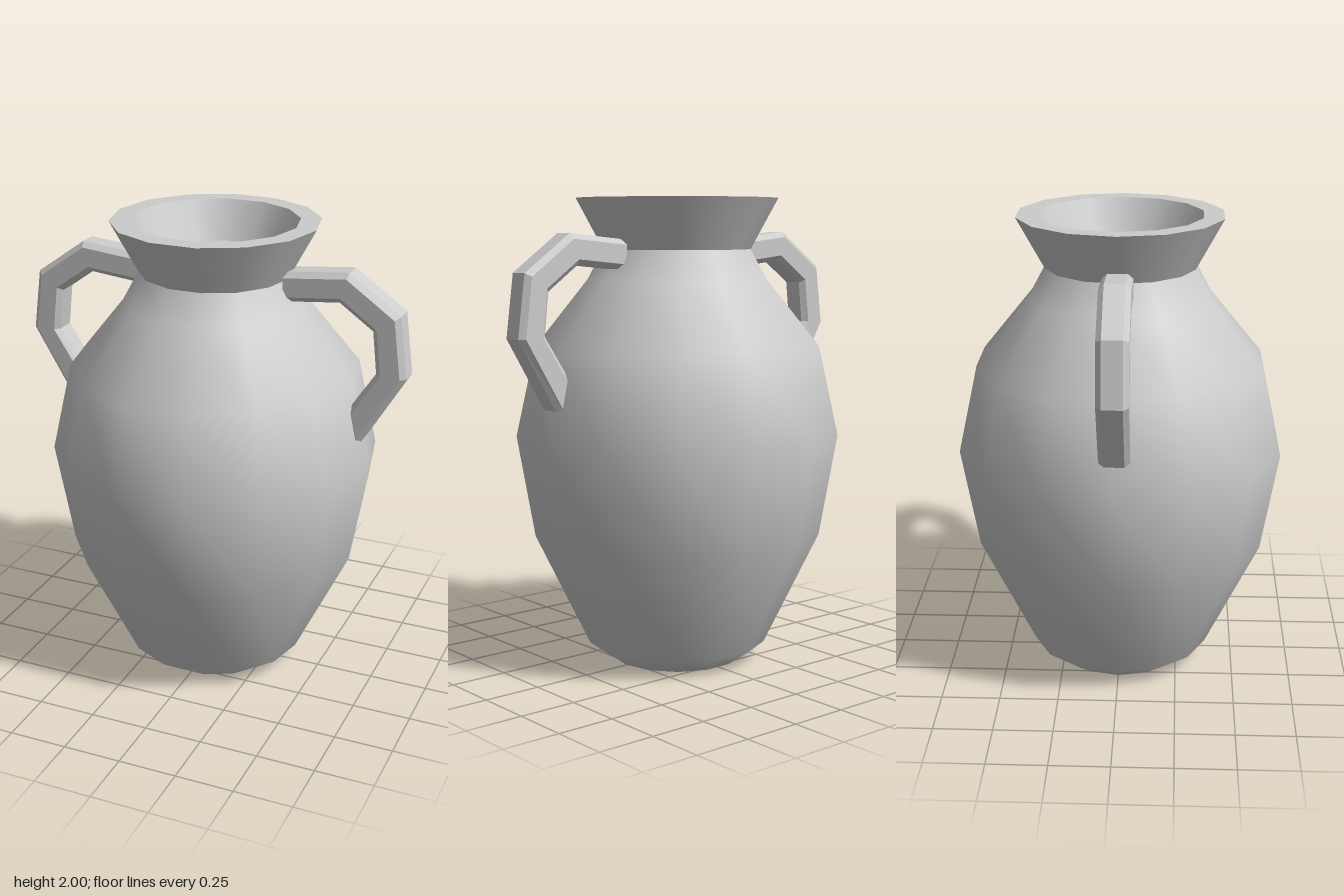
import * as THREE from 'three';

const SIDES = 14;

// Turned surface with a corner on the x axis; profile is [radius, y] pairs
function turned(name, profile, material) {
  const points = profile.map(([r, y]) => new THREE.Vector2(r, y));
  const mesh = new THREE.Mesh(new THREE.LatheGeometry(points, SIDES, Math.PI / 2), material);
  mesh.name = name;
  return mesh;
}

// Chamfered square bar running through stations of [outerX, outerY, innerX, innerY]
function handleGeometry(stations) {
  // Section corners: [share of the way from inner to outer, z]
  const section = [
    [1, -0.041], [1, 0.041], [0.82, 0.063], [0.18, 0.063],
    [0, 0.041], [0, -0.041], [0.18, -0.063], [0.82, -0.063],
  ];
  const n = section.length;
  const rings = stations.map(([ox, oy, ix, iy]) =>
    section.map(([t, z]) => [ix + (ox - ix) * t, iy + (oy - iy) * t, z]));
  const out = [];
  const tri = (a, b, c) => out.push(...a, ...b, ...c);
  for (let j = 0; j < rings.length - 1; j++) {
    for (let i = 0; i < n; i++) {
      const k = (i + 1) % n;
      tri(rings[j][i], rings[j][k], rings[j + 1][i]);
      tri(rings[j][k], rings[j + 1][k], rings[j + 1][i]);
    }
  }
  // End caps
  const first = rings[0], last = rings[rings.length - 1];
  for (let i = 1; i < n - 1; i++) {
    tri(first[0], first[i + 1], first[i]);
    tri(last[0], last[i], last[i + 1]);
  }
  const geometry = new THREE.BufferGeometry();
  geometry.setAttribute('position', new THREE.Float32BufferAttribute(out, 3));
  geometry.computeVertexNormals();
  return geometry;
}

export function createModel() {
  const group = new THREE.Group();
  group.name = 'jar';
  const clay = new THREE.MeshStandardMaterial({ color: 0xcccccc });
  clay.name = 'grey clay';

  // Body and neck, split where the edges are sharp
  group.add(
    turned('base', [[0, 0], [0.283, 0]], clay),
    turned('body', [
      [0.283, 0], [0.39, 0.075], [0.625, 0.565], [0.7, 1],
      [0.615, 1.38], [0.388, 1.66], [0.32, 1.785],
    ], clay),
    turned('neck', [[0.32, 1.785], [0.437, 2]], clay),
    turned('rim', [[0.437, 2], [0.35, 2]], clay),
    turned('neckInside', [[0.35, 2], [0.275, 1.835]], clay),
    turned('insideFloor', [[0.275, 1.835], [0, 1.835]], clay),
  );

  // Two matching handles
  const geometry = handleGeometry([
    [0.318, 1.828, 0.322, 1.703],
    [0.593, 1.855, 0.556, 1.727],
    [0.812, 1.7, 0.7, 1.625],
    [0.847, 1.44, 0.72, 1.447],
    [0.67, 1.142, 0.563, 1.206],
  ]);
  for (const [name, turn] of [['leftHandle', 0], ['rightHandle', Math.PI]]) {
    const handle = new THREE.Mesh(geometry, clay);
    handle.name = name;
    handle.rotation.y = turn;
    group.add(handle);
  }
  return group;
}
